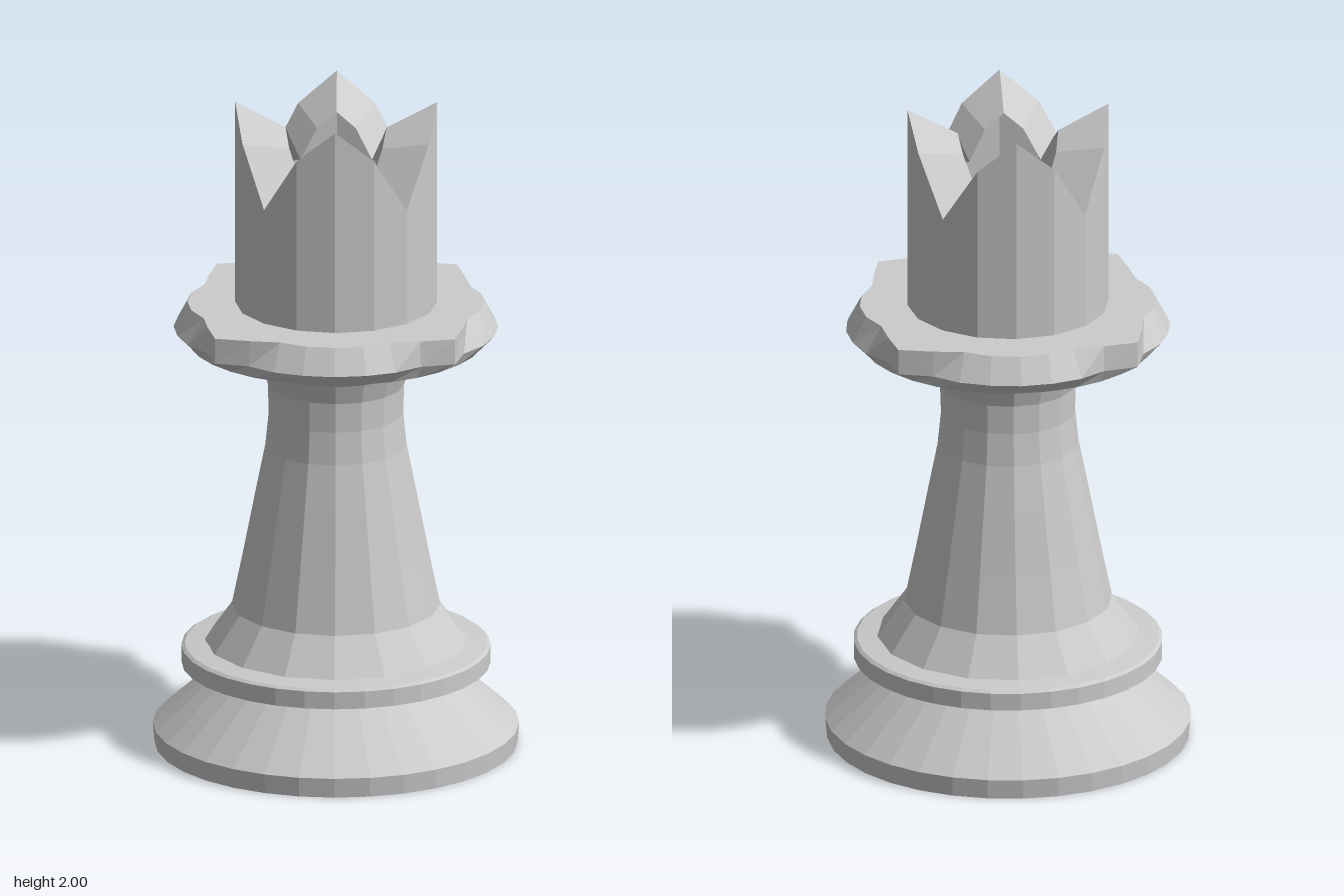
import * as THREE from 'three';

const material = new THREE.MeshStandardMaterial({
  color: 0xcccccc, flatShading: true, side: THREE.DoubleSide,
});

// Skin of quads through rings; each ring is a function of step i giving [radius, y].
function loft(sides, rings) {
  const pos = [], index = [];
  rings.forEach((ring) => {
    for (let i = 0; i < sides; i++) {
      const a = (i / sides) * Math.PI * 2;
      const [r, y] = ring(i);
      pos.push(r * Math.cos(a), y, r * Math.sin(a));
    }
  });
  for (let k = 0; k < rings.length - 1; k++) {
    for (let i = 0; i < sides; i++) {
      const j = (i + 1) % sides;
      const a = k * sides + i, b = k * sides + j;
      index.push(a, a + sides, b, b, a + sides, b + sides);
    }
  }
  const geometry = new THREE.BufferGeometry();
  geometry.setAttribute('position', new THREE.Float32BufferAttribute(pos, 3));
  geometry.setIndex(index);
  geometry.computeVertexNormals();
  return geometry;
}

function lathe(profile, sides) {
  return new THREE.LatheGeometry(profile.map(([r, y]) => new THREE.Vector2(r, y)), sides);
}

// Value from a list covering an eighth turn, mirrored to repeat four times round.
function fourfold(values, i) {
  const last = values.length - 1, k = i % (2 * last);
  return values[k <= last ? k : 2 * last - k];
}

export function createModel() {
  const model = new THREE.Group();
  const add = (name, geometry) => {
    const mesh = new THREE.Mesh(geometry, material);
    mesh.name = name;
    model.add(mesh);
  };

  // Hollow foot, open underneath
  add('base', lathe([[0.54, 0], [0.545, 0.06], [0.36, 0.225]], 32));

  // Raised band above the foot
  add('collar', lathe([[0.36, 0.225], [0.46, 0.25], [0.46, 0.303], [0.45, 0.31], [0.37, 0.32]], 32));

  // Waisted hollow shaft
  add('shaft', lathe([
    [0.39, 0.318], [0.31, 0.43], [0.275, 0.6], [0.238, 0.79], [0.21, 0.93], [0.2, 1.03],
    [0.203, 1.12], [0.222, 1.18], [0.26, 1.222], [0.32, 1.245],
  ], 16));

  // Scalloped flange with four pointed cusps
  const lowerEdge = [0.505, 0.46, 0.475, 0.48, 0.483];
  const upperEdge = [0.505, 0.456, 0.424, 0.438, 0.442];
  add('flange', loft(32, [
    () => [0.31, 1.242],
    () => [0.44, 1.257],
    (i) => [fourfold(lowerEdge, i), 1.297],
    (i) => [fourfold(upperEdge, i), 1.375],
    () => [0.295, 1.375],
  ]));

  // Crown with four points; the rim slopes in to a half-size opening
  const rim = (i) => fourfold([1.73, 1.905, 2], i);
  add('crown', loft(16, [
    () => [0.3, 1.375],
    (i) => [0.3, rim(i)],
    (i) => [0.15, 1.84 + (rim(i) - 1.84) * 0.5],
  ]));

  return model;
}
